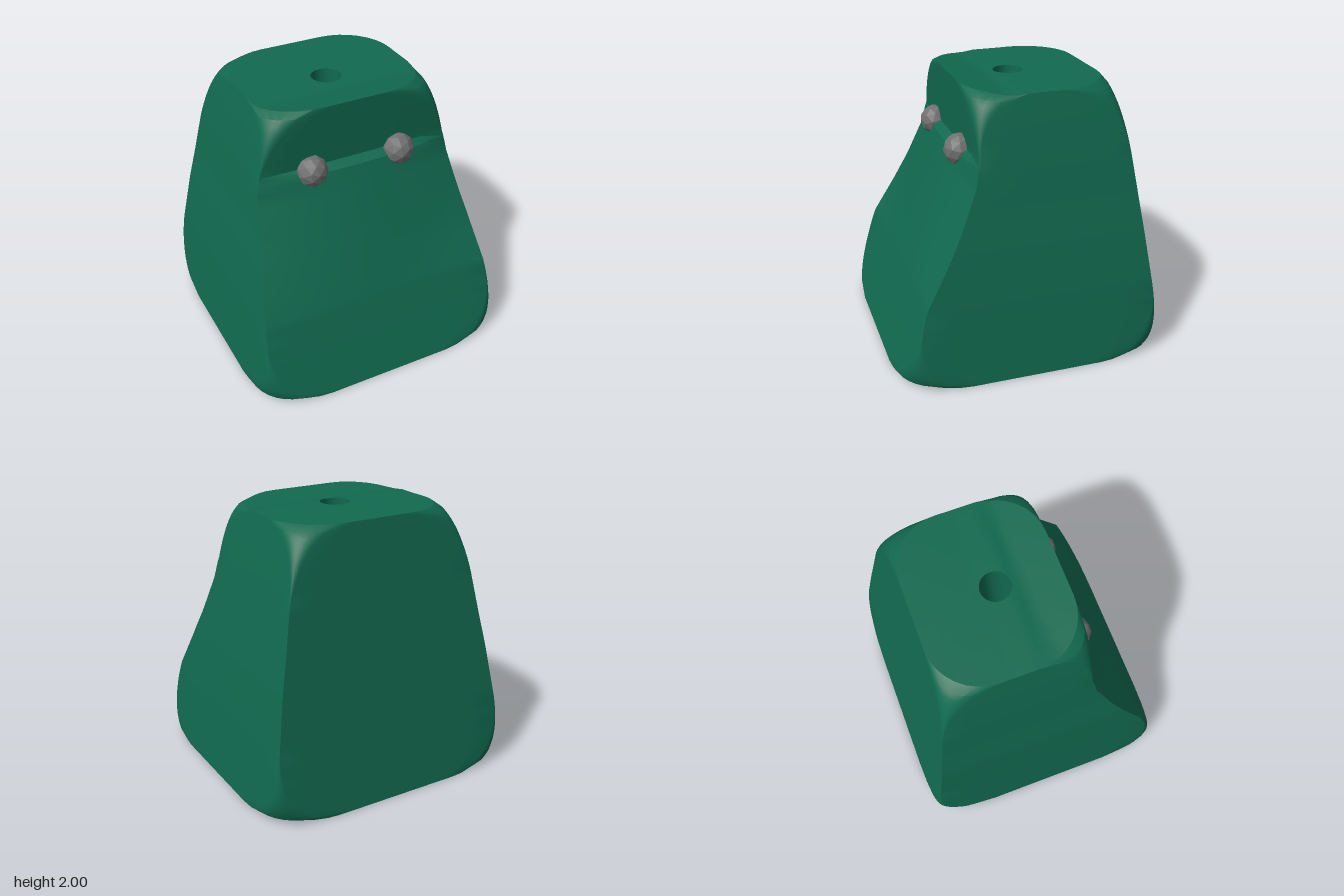
import * as THREE from 'three';
import { toCreasedNormals } from 'three/addons/utils/BufferGeometryUtils.js';

// piecewise linear profile: [[t, value], ...]
function sample(profile, t) {
  if (t <= profile[0][0]) return profile[0][1];
  for (let i = 1; i < profile.length; i++) {
    const [t0, v0] = profile[i - 1], [t1, v1] = profile[i];
    if (t <= t1) return v0 + (v1 - v0) * (t - t0) / (t1 - t0);
  }
  return profile[profile.length - 1][1];
}

// profiles over height
const halfWidth = [[0, 0.99], [0.55, 0.915], [0.95, 0.85], [1.2, 0.8], [1.55, 0.735], [2, 0.64]];
const frontZ = [[0, 0.98], [0.35, 0.86], [0.6, 0.78], [1.52, 0.425], [1.56, 0.36], [2, 0.37]];
const backZ = [[0, -0.98], [2, -0.68]];
const frontRecess = [[0.6, 0], [0.9, 0.055], [1.1, 0.08], [1.4, 0.09], [1.52, 0.065], [1.56, 0.01], [2, 0]];
// sag of the top over depth
const topSag = [[-0.68, -0.012], [-0.2, -0.022], [0, -0.022], [0.08, -0.035], [0.37, 0]];

// plan radius of the rounded corners, growing towards base and top
function cornerRadius(y) {
  const arc = t => 1 - Math.sqrt(Math.max(0, 1 - t * t));
  if (y < 0.55) return 0.5 * arc(1 - y / 0.55);
  if (y > 1.48) return 0.39 * arc((y - 1.48) / 0.52);
  return 0;
}

// one rounded-rectangle cross-section
function section(y) {
  const w = sample(halfWidth, y), f = sample(frontZ, y), b = sample(backZ, y);
  const r = cornerRadius(y), ARC = 8, SIDE = 8, outline = [];
  const corners = [[w - r, f - r], [-w + r, f - r], [-w + r, b + r], [w - r, b + r]];
  corners.forEach(([cx, cz], c) => {
    for (let i = 0; i <= ARC; i++) {
      const a = (c + i / ARC) * Math.PI / 2;
      outline.push([cx + r * Math.cos(a), cz + r * Math.sin(a)]);
    }
    const [x0, z0] = outline[outline.length - 1];
    const [nx, nz] = corners[(c + 1) % 4];
    const a = (c + 1) * Math.PI / 2;
    const x1 = nx + r * Math.cos(a), z1 = nz + r * Math.sin(a);
    for (let i = 1; i < SIDE; i++) {
      outline.push([x0 + (x1 - x0) * i / SIDE, z0 + (z1 - z0) * i / SIDE]);
    }
  });
  const recess = sample(frontRecess, y);
  return outline.map(([x, z]) => {
    const k = (z - b) / (f - b);
    const sag = sample(topSag, z) * Math.max(0, (y - 1.8) / 0.2);
    return new THREE.Vector3(x, y + sag, z - recess * k * (x / w) ** 2);
  });
}

// circle of the bore, with points lined up with an outline
function boreRing(outline, y, cz) {
  return outline.map(p => {
    const a = Math.atan2(p.z - cz, p.x);
    const z = cz + 0.11 * Math.sin(a);
    return new THREE.Vector3(0.11 * Math.cos(a), y + (y > 1 ? sample(topSag, z) : 0), z);
  });
}

function capRings(from, to, steps, top) {
  const rings = [];
  for (let s = 1; s < steps; s++) {
    rings.push(from.map((p, i) => {
      const q = p.clone().lerp(to[i], s / steps);
      q.y = top ? 2 + sample(topSag, q.z) : 0;
      return q;
    }));
  }
  return rings;
}

// skin closed rings, the last joining the first
function loft(rings) {
  const n = rings[0].length, pos = [], index = [];
  rings.forEach(r => r.forEach(p => pos.push(p.x, p.y, p.z)));
  rings.forEach((_, i) => {
    const u = i * n, v = ((i + 1) % rings.length) * n;
    for (let j = 0; j < n; j++) {
      const k = (j + 1) % n;
      index.push(u + j, v + j, v + k, u + j, v + k, u + k);
    }
  });
  const g = new THREE.BufferGeometry();
  g.setAttribute('position', new THREE.Float32BufferAttribute(pos, 3));
  g.setIndex(index);
  return toCreasedNormals(g, 0.45);
}

export function createModel() {
  const model = new THREE.Group();
  model.name = 'taperedBlock';

  // tapered body with a bore from base to top
  const heights = [1.52, 1.56];
  for (let i = 0; i <= 50; i++) if (i !== 38 && i !== 39) heights.push(i * 0.04);
  heights.sort((a, b) => a - b);
  const sides = heights.map(section);
  const base = sides[0], top = sides[sides.length - 1];
  const boreBase = boreRing(base, 0, -0.01), boreTop = boreRing(top, 2, -0.09);
  const rings = [
    boreBase, ...capRings(boreBase, base, 4, false),
    ...sides,
    ...capRings(top, boreTop, 8, true), boreTop,
  ];
  const body = new THREE.Mesh(loft(rings), new THREE.MeshStandardMaterial({ color: 0x11694f }));
  body.name = 'body';
  model.add(body);

  // faceted eyes
  const eyeMaterial = new THREE.MeshStandardMaterial({ color: 0x707070, flatShading: true });
  for (const [name, x, y, r] of [['leftEye', 0.34, 1.53, 0.12], ['rightEye', -0.345, 1.535, 0.115]]) {
    const eye = new THREE.Mesh(new THREE.IcosahedronGeometry(r, 1), eyeMaterial);
    eye.name = name;
    eye.position.set(x, y, 0.375);
    eye.rotation.set(0.3, 0.4 * Math.sign(x), 0.2);
    model.add(eye);
  }
  return model;
}
